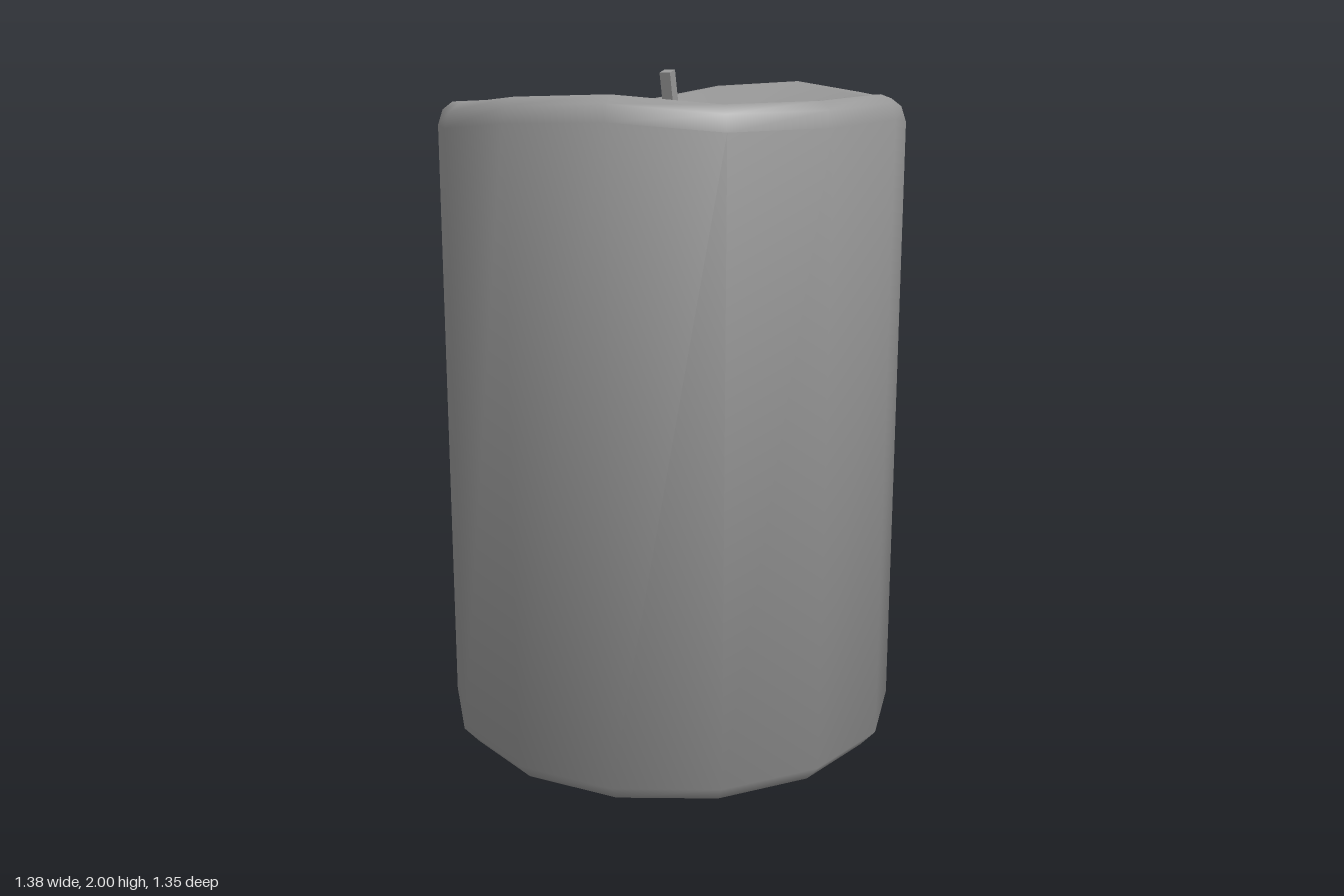
import * as THREE from 'three';

const SIDES = 14;
// height of the melted rim at each corner, starting at +x and turning towards +z
const RIM = [1.94, 1.93, 1.925, 1.95, 1.94, 1.915, 1.91, 1.905, 1.885, 1.885, 1.94, 1.958, 1.93, 1.92];

// Skins a stack of closed rings (bottom to top) and closes both ends with a centre point.
function loft(rings, start, end) {
  const n = rings[0].length;
  const points = [...rings.flat(), start, end];
  const index = [];
  for (let r = 0; r < rings.length - 1; r++) {
    for (let i = 0; i < n; i++) {
      const a = r * n + i, b = r * n + (i + 1) % n;
      index.push(a, a + n, b, b, a + n, b + n);
    }
  }
  const s = rings.length * n, last = s - n;
  for (let i = 0; i < n; i++) {
    const j = (i + 1) % n;
    index.push(s, i, j, s + 1, last + j, last + i);
  }
  const geometry = new THREE.BufferGeometry();
  geometry.setAttribute('position', new THREE.Float32BufferAttribute(points.flat(), 3));
  geometry.setIndex(index);
  return geometry;
}

// Smooth normals weighted by corner angle, so bevels soften the large faces beside them.
function smoothByAngle(geometry) {
  const position = geometry.attributes.position;
  const index = geometry.index.array;
  const points = Array.from({ length: position.count }, (_, i) =>
    new THREE.Vector3().fromBufferAttribute(position, i));
  const normals = points.map(() => new THREE.Vector3());
  for (let t = 0; t < index.length; t += 3) {
    for (let k = 0; k < 3; k++) {
      const [a, b, c] = [0, 1, 2].map(m => index[t + (k + m) % 3]);
      const u = points[b].clone().sub(points[a]);
      const v = points[c].clone().sub(points[a]);
      normals[a].addScaledVector(u.clone().cross(v).normalize(), u.angleTo(v));
    }
  }
  const flat = normals.flatMap(v => v.normalize().toArray());
  geometry.setAttribute('normal', new THREE.Float32BufferAttribute(flat, 3));
  return geometry;
}

export function createModel() {
  const group = new THREE.Group();
  const material = new THREE.MeshStandardMaterial({ color: 0x999999 });

  // Wax body: radius, and height as a function of the rim height at that corner
  const profile = [
    [0.645, () => 0],
    [0.69, () => 0.05],
    [0.69, h => h - 0.07],
    [0.675, h => h - 0.025],
    [0.645, h => h - 0.002],
    [0.605, h => h - 0.005],
    [0.46, h => 1.825 + (h - 1.925) * 0.5],
    [0.24, () => 1.742],
  ];
  const rings = profile.map(([radius, height]) => RIM.map((h, i) => {
    const a = (i / SIDES) * Math.PI * 2;
    return [radius * Math.cos(a), height(h), radius * Math.sin(a)];
  }));
  const wax = new THREE.Mesh(smoothByAngle(loft(rings, [0, 0, 0], [0, 1.72, 0])), material);
  wax.name = 'waxBody';
  group.add(wax);

  // Wick: square section swept along a slight forward bend
  const w = 0.017;
  const path = [[1.68, -0.012, 0], [1.8, -0.008, 0.06], [1.9, 0.004, 0.16], [1.996, 0.026, 0.25]];
  const sections = path.map(([y, z, tilt]) =>
    [[w, w], [-w, w], [-w, -w], [w, -w]].map(([x, d]) =>
      [x, y - d * Math.sin(tilt), z + d * Math.cos(tilt)]));
  const wickGeometry = loft(sections, [0, 1.68, -0.012], [0, 1.996, 0.026]).toNonIndexed();
  wickGeometry.computeVertexNormals();
  const wick = new THREE.Mesh(wickGeometry, material);
  wick.name = 'wick';
  group.add(wick);

  return group;
}
